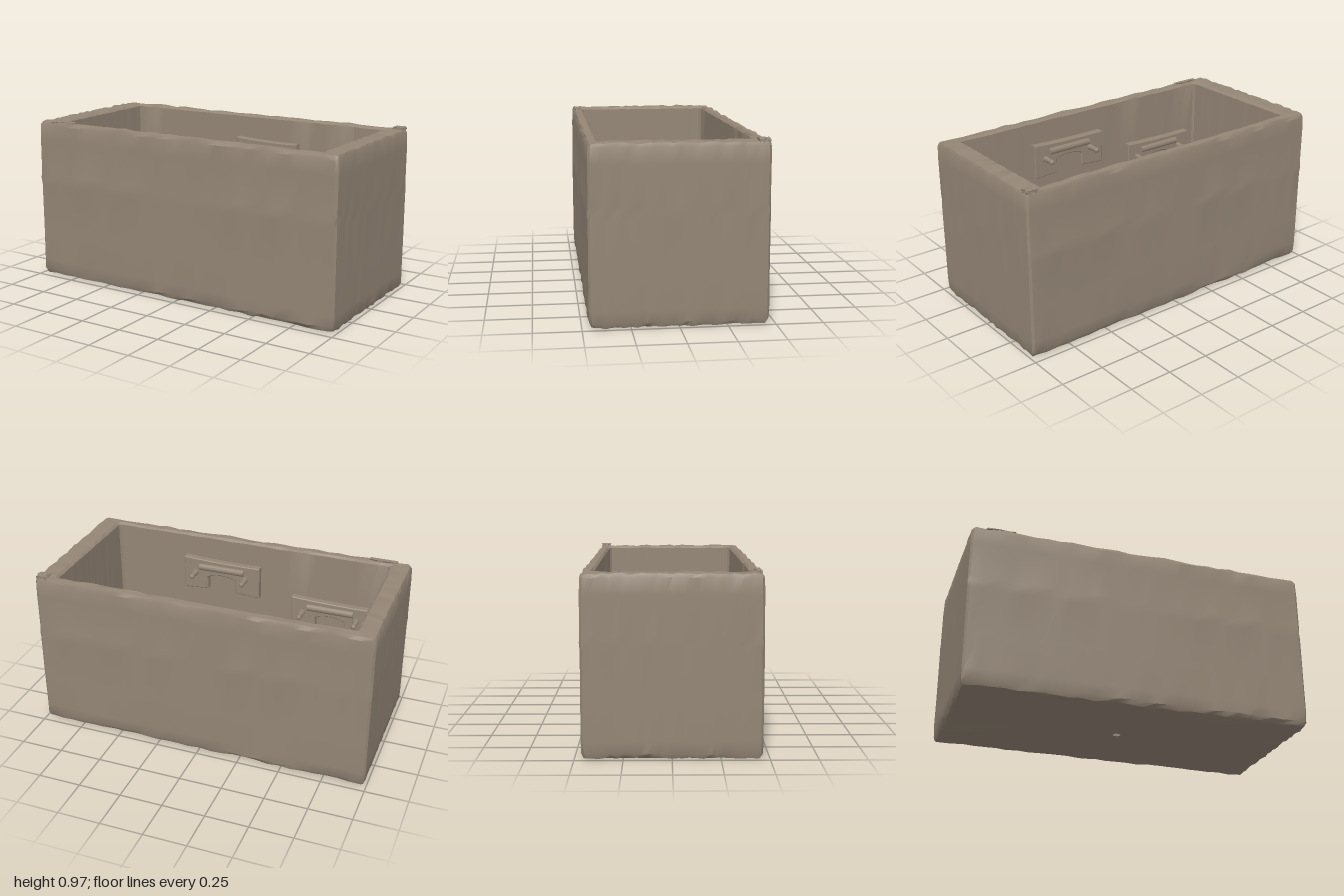
import * as THREE from 'three';
import { toCreasedNormals } from 'three/addons/utils/BufferGeometryUtils.js';

// Small repeatable noise in -1..1
const hash = (a, b) => {
  const s = Math.sin(a * 127.1 + b * 311.7) * 43758.5453;
  return (s - Math.floor(s)) * 2 - 1;
};

// Points around a chamfered rectangle: front, right, back, left
function rectLoop(hx, hz) {
  const n = 28, c = Math.min(0.012, hx / 2, hz / 2), pts = [];
  const side = (x0, z0, x1, z1) => {
    for (let i = 0; i <= n; i++) {
      const t = i / n;
      pts.push([x0 + (x1 - x0) * t, z0 + (z1 - z0) * t]);
    }
  };
  side(-hx + c, hz, hx - c, hz);
  side(hx, hz - c, hx, -hz + c);
  side(hx - c, -hz, -hx + c, -hz);
  side(-hx, -hz + c, -hx, hz - c);
  return pts;
}

// One skin from the underside, up the outside, over the rim and down to the floor
function troughGeometry(floorY) {
  // half width, half depth, height, roughness
  const rows = [
    [0.02, 0.02, 0.008, 0], [0.96, 0.435, 0.008, 0.002], [0.978, 0.452, 0.012, 0.006],
    [0.988, 0.463, 0.035, 0.004], [0.99, 0.465, 0.1, 0.001], [0.99, 0.465, 0.3, 0.001],
    [0.99, 0.465, 0.57, 0.001], [0.99, 0.467, 0.61, 0.004], [0.99, 0.464, 0.64, 0.001],
    [0.99, 0.464, 0.85, 0.001], [0.988, 0.463, 0.935, 0.003], [0.978, 0.453, 0.956, 0.005],
    [0.885, 0.415, 0.957, 0.003], [0.87, 0.403, 0.945, 0.002], [0.868, 0.403, 0.6, 0.002],
    [0.866, 0.402, floorY, 0], [0.02, 0.02, floorY, 0],
  ];
  const pos = [], index = [];
  let count = 0;
  rows.forEach(([hx, hz, y, rough], j) => {
    const loop = rectLoop(hx, hz);
    count = loop.length;
    loop.forEach(([x, z], i) => {
      const wear = rough * hash(i, j);
      pos.push(x + wear * 0.6 * Math.sign(x), y + rough * hash(i, j + 50), z + wear * Math.sign(z));
    });
  });
  for (let j = 0; j < rows.length - 1; j++) {
    for (let i = 0; i < count; i++) {
      const k = (i + 1) % count;
      const a = j * count + i, b = j * count + k, c = a + count, d = b + count;
      index.push(a, b, d, a, d, c);
    }
  }
  const g = new THREE.BufferGeometry();
  g.setAttribute('position', new THREE.Float32BufferAttribute(pos, 3));
  g.setIndex(index);
  return toCreasedNormals(g, 0.6);
}

// Block whose corners are slightly worn
function wornBlock(w, h, d, seed) {
  const g = new THREE.BoxGeometry(w, h, d, 8, 3, 6);
  const p = g.attributes.position;
  for (let i = 0; i < p.count; i++) {
    const x = p.getX(i), y = p.getY(i), z = p.getZ(i);
    const key = Math.round(x * 100) + Math.round(z * 100) * 7 + seed;
    const r = 0.005 * hash(key, Math.round(y * 100));
    p.setXYZ(i, x + r, y + r * 0.5, z - r);
  }
  return toCreasedNormals(g, 0.6);
}

// Wall plate with an arched notch in its lower edge
function plateGeometry(w, h) {
  const s = new THREE.Shape();
  const n = w * 0.2;
  s.moveTo(-w / 2, -h / 2);
  s.lineTo(-n, -h / 2 + 0.01);
  s.lineTo(-n, -0.01);
  s.quadraticCurveTo(0, 0.03, n, -0.01);
  s.lineTo(n, -h / 2 + 0.01);
  s.lineTo(w / 2, -h / 2);
  s.lineTo(w / 2, h / 2 - 0.01);
  s.quadraticCurveTo(0, h / 2 - 0.015, -w / 2, h / 2);
  return new THREE.ExtrudeGeometry(s, {
    depth: 0.035, bevelEnabled: true, bevelSize: 0.005, bevelThickness: 0.005, bevelSegments: 1,
  });
}

export function createModel() {
  const model = new THREE.Group();
  const stone = new THREE.MeshStandardMaterial({ color: 0x948676 });
  stone.name = 'weathered stone';
  const add = (parent, name, geometry, x, y, z) => {
    const m = new THREE.Mesh(geometry, stone);
    m.name = name;
    m.position.set(x, y, z);
    parent.add(m);
    return m;
  };

  const floorY = 0.09;
  add(model, 'trough', troughGeometry(floorY), 0, 0, 0);

  // Blocks standing on the floor: x centre, z centre, width, height, depth
  const blocks = [
    ['seatBack', -0.775, 0, 0.19, 0.38, 0.32],
    ['seat', -0.51, 0, 0.36, 0.2, 0.315],
    ['table', 0.08, -0.005, 0.49, 0.15, 0.265],
    ['endBlock', 0.685, 0, 0.37, 0.2, 0.315],
  ];
  blocks.forEach(([name, x, z, w, h, d], i) =>
    add(model, name, wornBlock(w, h, d, i * 13), x, floorY + h / 2, z));

  // Brackets: wall side, x centre, y centre, width, tilt, peg positions, peg slant
  const brackets = [
    [1, -0.535, 0.56, 0.48, 0, [-0.7, -0.36], 0],
    [1, 0.165, 0.715, 0.48, 0, [0.01, 0.335], 0],
    [-1, -0.51, 0.58, 0.49, -0.06, [-0.755, -0.39], -0.3],
    [-1, 0.11, 0.715, 0.41, 0, [-0.02, 0.3], 0.25],
  ];
  for (const [side, x, y, w, tilt, pegs, slant] of brackets) {
    const b = new THREE.Group();
    b.name = side > 0 ? 'frontBracket' : 'backBracket';
    model.add(b);
    const plate = add(b, 'bracketPlate', plateGeometry(w, 0.2), x, y, side * 0.4);
    if (side > 0) plate.rotation.y = Math.PI;
    plate.rotation.z = tilt;
    // Rounded bar joining the two ends
    const bar = add(b, 'bracketBar', new THREE.CylinderGeometry(0.022, 0.022, w * 0.6, 8),
      x, y + 0.05, side * 0.363);
    bar.rotation.z = Math.PI / 2 + tilt;
    // Pegs pointing into the trough
    for (const px of pegs) {
      const peg = new THREE.Group();
      peg.name = 'peg';
      peg.position.set(px, y + 0.01, side * 0.36);
      peg.rotation.set(-side * Math.PI / 2, 0, slant);
      b.add(peg);
      add(peg, 'pegShaft', new THREE.CylinderGeometry(0.012, 0.02, 0.08, 8), 0, 0.035, 0);
      add(peg, 'pegTip', new THREE.SphereGeometry(0.017, 8, 6), 0, 0.068, 0);
    }
  }

  // Small chips of stone left on the rim
  add(model, 'rimChip', wornBlock(0.06, 0.02, 0.055, 5), 0.95, 0.96, -0.43);
  add(model, 'rimChip', wornBlock(0.16, 0.012, 0.03, 9), -0.82, 0.958, 0.44);
  return model;
}
